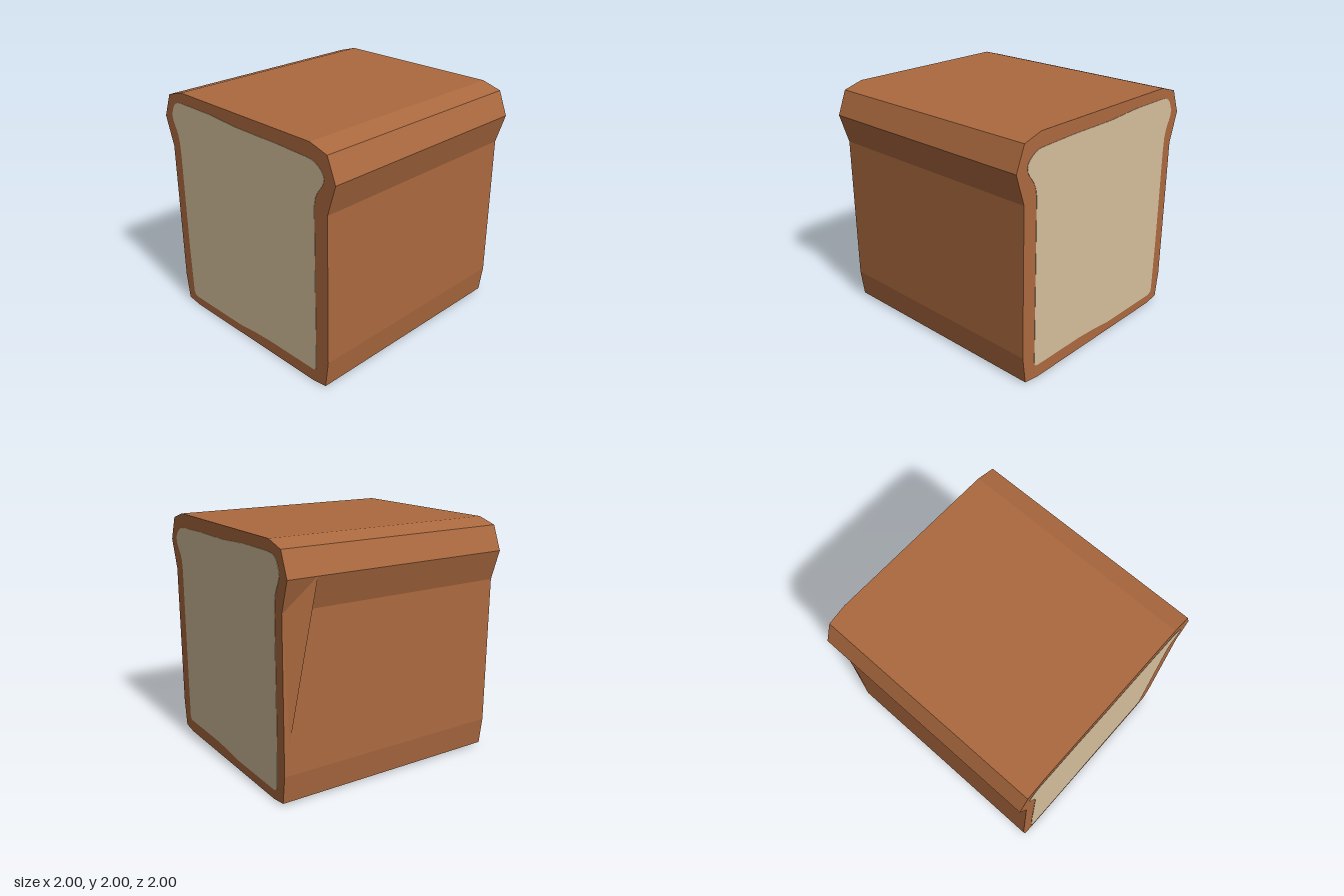
import * as THREE from 'three';

const crust = new THREE.MeshStandardMaterial({ color: 0xab693f });
crust.name = 'crust brown';
crust.side = THREE.DoubleSide;
const crumb = new THREE.MeshStandardMaterial({ color: 0xd5bf9c });
crumb.name = 'crumb cream';

const PLATE = 0.003;

function extrude(shape, depth, z, material, name) {
  const geometry = new THREE.ExtrudeGeometry(shape, { depth, bevelEnabled: false, curveSegments: 6 });
  geometry.translate(0, 0, z);
  const mesh = new THREE.Mesh(geometry, material);
  mesh.name = name;
  return mesh;
}

// Symmetrical faceted slice outline, bottom to top
function crustShape() {
  const half = [[0.75, 0], [0.89, 0.02], [0.92, 0.25], [0.92, 1.5], [1, 1.75], [0.92, 1.95], [0.75, 2]];
  const mirrored = half.map(([x, y]) => [-x, y]).reverse();
  return new THREE.Shape([...half, ...mirrored].map(([x, y]) => new THREE.Vector2(x, y)));
}

// Soft, slightly uneven outline of the cut face
function crumbShape() {
  const s = new THREE.Shape();
  s.moveTo(-0.75, 0.08);
  s.lineTo(-0.15, 0.08);
  s.lineTo(0.05, 0.1);
  s.lineTo(0.25, 0.11);
  s.lineTo(0.75, 0.11);
  s.quadraticCurveTo(0.79, 0.11, 0.79, 0.16);
  s.lineTo(0.79, 1.53);
  s.bezierCurveTo(0.8, 1.68, 0.89, 1.68, 0.89, 1.77);
  s.bezierCurveTo(0.89, 1.82, 0.8, 1.88, 0.74, 1.88);
  s.lineTo(0.4, 1.89);
  s.lineTo(-0.05, 1.89);
  s.lineTo(-0.38, 1.91);
  s.lineTo(-0.75, 1.91);
  s.bezierCurveTo(-0.88, 1.91, -0.87, 1.83, -0.9, 1.79);
  s.bezierCurveTo(-0.89, 1.66, -0.82, 1.7, -0.82, 1.45);
  s.lineTo(-0.82, 0.6);
  s.lineTo(-0.81, 0.14);
  s.quadraticCurveTo(-0.81, 0.08, -0.75, 0.08);
  return s;
}

export function createModel() {
  const group = new THREE.Group();
  group.name = 'breadLoaf';

  // Loaf body
  group.add(extrude(crustShape(), 2 - 2 * PLATE, -1 + PLATE, crust, 'crustBody'));

  // Cut faces at both ends
  const face = crumbShape();
  group.add(extrude(face, PLATE, 1 - PLATE, crumb, 'frontCrumb'));
  group.add(extrude(face, PLATE, -1, crumb, 'backCrumb'));

  // Loose flake of crust under the right shoulder, near the back
  const flake = new THREE.BufferGeometry();
  flake.setAttribute('position', new THREE.Float32BufferAttribute(
    [-1, 1.75, -0.75, -0.92, 1.5, -0.99, -0.92, 0.5, -0.95], 3));
  flake.computeVertexNormals();
  const flakeMesh = new THREE.Mesh(flake, crust);
  flakeMesh.name = 'crustFlake';
  group.add(flakeMesh);

  return group;
}
